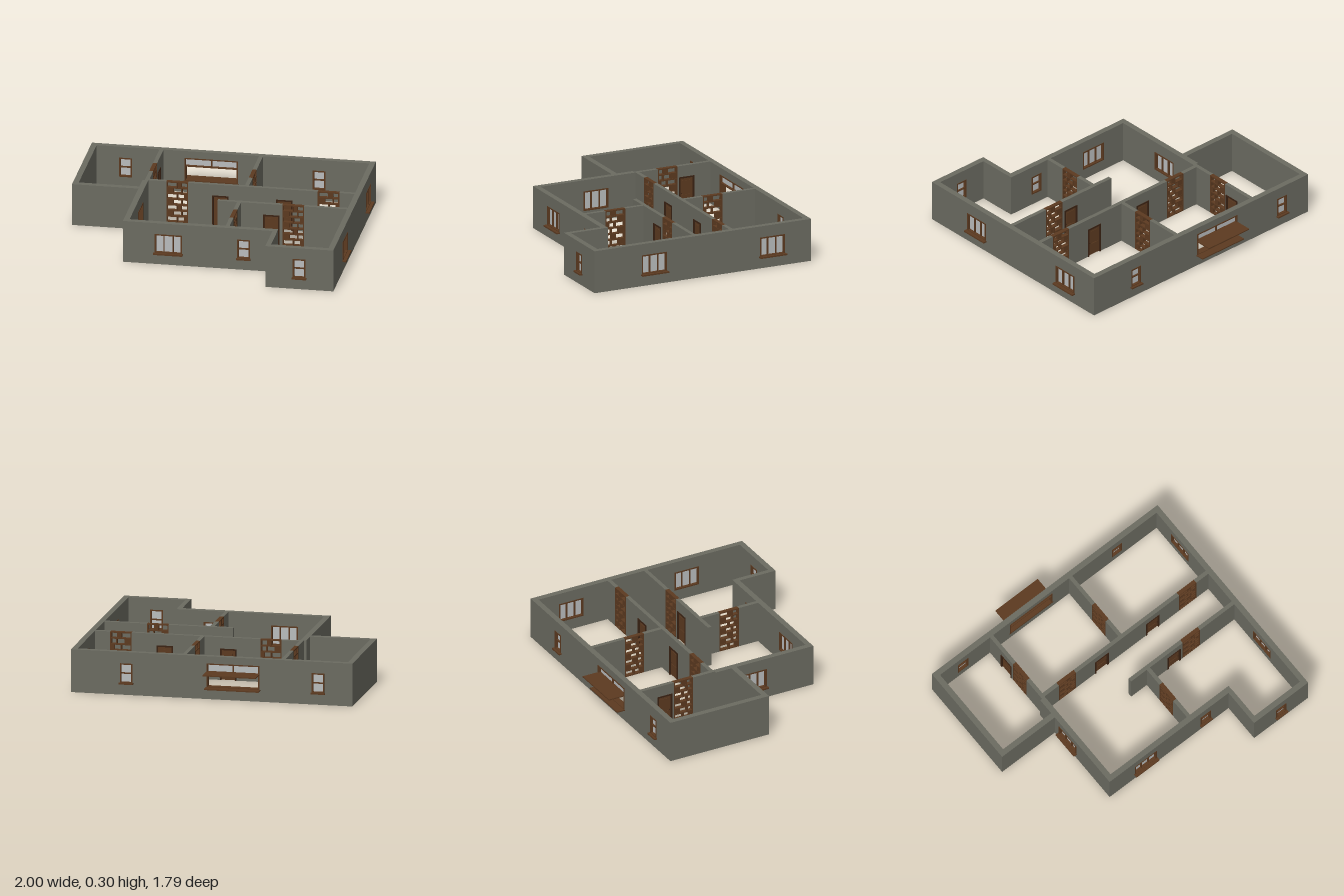
import * as THREE from 'three';

const H = 0.3; // wall height
const mat = (color) => new THREE.MeshStandardMaterial({ color });
const wallMat = mat(0x6b6b61);
const woodMat = mat(0x5c3a20);
const darkMat = mat(0x3a2213);
const glassMat = mat(0xb9bcbd);

// Box given by its extents
function box(parent, name, material, x0, x1, y0, y1, z0, z1) {
  const mesh = new THREE.Mesh(new THREE.BoxGeometry(x1 - x0, y1 - y0, z1 - z0), material);
  mesh.position.set((x0 + x1) / 2, (y0 + y1) / 2, (z0 + z1) / 2);
  mesh.name = name;
  parent.add(mesh);
  return mesh;
}

// Rectangular frame of four bars
function frame(parent, name, material, u0, u1, y0, y1, b, d, sill = true) {
  box(parent, name, material, u0, u0 + b, y0, y1, -d, d);
  box(parent, name, material, u1 - b, u1, y0, y1, -d, d);
  box(parent, name, material, u0 + b, u1 - b, y1 - b, y1, -d, d);
  if (sill) box(parent, name, material, u0 + b, u1 - b, y0, y0 + b, -d, d);
}

const group = (name) => Object.assign(new THREE.Group(), { name });

// Window centred on u; out = +1 or -1 is the outdoor side
function makeWindow(o, t, out) {
  const g = group(o.wide ? 'wideWindow' : 'smallWindow');
  const { u0, u1, y0, y1 } = o;
  frame(g, 'windowFrame', woodMat, u0, u1, y0, y1, 0.009, t / 2 + 0.003);
  box(g, 'glass', glassMat, u0, u1, y0, y1, -0.002, 0.002);
  const d = t / 2 - 0.006;
  if (o.wide) {
    for (const k of [1, 2]) {
      const u = u0 + ((u1 - u0) * k) / 3;
      box(g, 'mullion', woodMat, u - 0.004, u + 0.004, y0, y1, -d, d);
    }
  } else {
    const y = (y0 + y1) / 2;
    box(g, 'transom', woodMat, u0, u1, y - 0.004, y + 0.004, -d, d);
  }
  const far = t / 2 + (o.wide ? 0.026 : 0.02);
  const [w0, w1] = out > 0 ? [t / 2 - 0.01, far] : [-far, -t / 2 + 0.01];
  box(g, 'windowSill', woodMat, u0 - 0.006, u1 + 0.006, y0 - 0.005, y0 + 0.005, w0, w1);
  return g;
}

// Panelled door with casing and knobs
function makeDoor(o, t) {
  const g = group('door');
  const { u0, u1, y1 } = o;
  frame(g, 'doorCasing', darkMat, u0, u1, 0, y1, 0.01, t / 2 + 0.004, false);
  box(g, 'doorLeaf', woodMat, u0 + 0.01, u1 - 0.01, 0.001, y1 - 0.01, -0.007, 0.007);
  for (const [a, b] of [[0.02, 0.09], [0.11, 0.19]]) {
    box(g, 'doorPanel', woodMat, u0 + 0.026, u1 - 0.026, a, b, -0.01, 0.01);
  }
  for (const s of [-1, 1]) {
    const knob = new THREE.Mesh(new THREE.SphereGeometry(0.004, 10, 8), darkMat);
    knob.position.set(u1 - 0.019, 0.1, s * 0.012);
    knob.name = 'doorKnob';
    g.add(knob);
  }
  return g;
}

// Open room-divider shelf with staggered uprights and a few closed cells
function makeShelf(o, t) {
  const g = group('dividerShelf');
  const { u0, u1 } = o;
  const d = t / 2, b = 0.008, rows = 7, step = (H - b) / rows, w = u1 - u0;
  frame(g, 'shelfFrame', woodMat, u0, u1, 0, H, b, d);
  for (let r = 0; r < rows; r++) {
    const y = r * step;
    if (r) box(g, 'shelfBoard', woodMat, u0 + b, u1 - b, y, y + b, -d, d);
    const splits = r % 2 ? [0.3, 0.7] : [0.5];
    for (const f of splits) {
      box(g, 'shelfUpright', woodMat, u0 + w * f - b / 2, u0 + w * f + b / 2, y + b, y + step, -d, d);
    }
    const [p, q] = r % 2 ? [0, 0.3] : r % 4 ? [0.5, 0.72] : [0.78, 1];
    box(g, 'shelfBlock', woodMat, u0 + w * p + b / 2, u0 + w * q - b / 2, y + b, y + step, -d * 0.8, d * 0.8);
  }
  return g;
}

// Serving hatch: top light, raised flap outside and counter through the wall
function makeHatch(o, t, out) {
  const g = group('servingHatch');
  const { u0, u1, y0, y1 } = o, mid = 0.19;
  frame(g, 'hatchFrame', woodMat, u0, u1, y0, y1, 0.008, t / 2 + 0.003);
  box(g, 'hatchTransom', woodMat, u0, u1, mid - 0.004, mid + 0.004, -t / 2, t / 2);
  box(g, 'glass', glassMat, u0, u1, mid, y1, -0.002, 0.002);
  const m = (u0 + u1) / 2;
  box(g, 'mullion', woodMat, m - 0.004, m + 0.004, mid, y1, -0.012, 0.012);
  const slab = (name, y, near, far, e) => {
    const [a, b] = [out * near, out * far].sort((p, q) => p - q);
    box(g, name, woodMat, u0 - e, u1 + e, y - 0.004, y + 0.004, a, b);
  };
  slab('hatchFlap', mid, t / 2, 0.14, 0);
  slab('counter', y0, -t / 2 - 0.004, 0.08, 0.006);
  return g;
}

const makers = { window: makeWindow, door: makeDoor, shelf: makeShelf, hatch: makeHatch };

// Wall running along x or z from a to b, centred on c, with fitted openings
function makeWall(name, axis, a, b, c, t, openings = [], out = 1) {
  const g = group(name);
  const list = [...openings].sort((p, q) => p.u0 - q.u0);
  const gaps = list.filter((o) => o.type === 'shelf');
  const ends = [a, ...gaps.flatMap((o) => [o.u0, o.u1]), b];
  for (let i = 0; i < ends.length; i += 2) {
    const [s, e] = [ends[i], ends[i + 1]];
    const inside = list.filter((o) => o.type !== 'shelf' && o.u0 > s && o.u1 < e);
    const shape = new THREE.Shape().moveTo(s, 0);
    for (const o of inside.filter((d) => d.type === 'door')) {
      shape.lineTo(o.u0, 0).lineTo(o.u0, o.y1).lineTo(o.u1, o.y1).lineTo(o.u1, 0);
    }
    shape.lineTo(e, 0).lineTo(e, H).lineTo(s, H).closePath();
    for (const o of inside.filter((d) => d.type !== 'door')) {
      shape.holes.push(new THREE.Path().moveTo(o.u0, o.y0).lineTo(o.u0, o.y1)
        .lineTo(o.u1, o.y1).lineTo(o.u1, o.y0).closePath());
    }
    const geo = new THREE.ExtrudeGeometry(shape, { depth: t, bevelEnabled: false });
    const mesh = new THREE.Mesh(geo.translate(0, 0, -t / 2), wallMat);
    mesh.name = 'wallPanel';
    g.add(mesh);
  }
  for (const o of list) g.add(makers[o.type](o, t, out));
  if (axis === 'z') {
    g.rotation.y = -Math.PI / 2;
    g.position.x = c;
  } else g.position.z = c;
  return g;
}

// Openings, each centred on u
const opening = (type, u, w, y0, y1, wide) => ({ type, u0: u - w / 2, u1: u + w / 2, y0, y1, wide });
const wide = (u) => opening('window', u, 0.19, 0.08, 0.22, true);
const small = (u) => opening('window', u, 0.088, 0.08, 0.22, false);
const door = (u) => opening('door', u, 0.115, 0, 0.22);
const shelf = (u) => opening('shelf', u, 0.15, 0, H);

export function createModel() {
  const model = group('house');
  const T = 0.04, I = 0.028; // outer and inner wall thickness
  const add = (...args) => model.add(makeWall(...args));

  // Outer walls
  const hatch = opening('hatch', -0.165, 0.37, 0.08, 0.25);
  add('backWall', 'x', -1, 0.97, -0.76, T, [small(-0.76), hatch, small(0.583)], -1);
  add('rightOuterWall', 'z', -0.74, 0.87, 0.95, T, [wide(-0.485), wide(0.415)], -1);
  add('leftOuterWall', 'z', -0.74, -0.01, -0.98, T);
  add('sideRoomFrontWall', 'x', -0.96, -0.54, -0.03, T);
  add('livingRoomSideWall', 'z', -0.17, 0.55, -0.52, T, [wide(0.13)], 1);
  add('frontWall', 'x', -0.54, 0.53, 0.57, T, [wide(-0.225), small(0.297)], 1);
  add('porchSideWall', 'z', 0.59, 0.83, 0.515, 0.034);
  add('porchFrontWall', 'x', 0.498, 0.93, 0.85, T, [small(0.733)], 1);

  // Inner walls with doors and divider shelves
  add('sideRoomInnerWall', 'z', -0.74, -0.17, -0.51, I, [door(-0.56), shelf(-0.415)]);
  add('backRoomDivider', 'z', -0.74, -0.2, 0.18, I, [shelf(-0.415)]);
  add('corridorBackWall', 'x', -0.496, 0.93, -0.187, I, [shelf(-0.3), door(0), door(0.443), shelf(0.75)]);
  add('corridorFrontWall', 'x', 0.03, 0.93, 0.097, I, [door(0.403), shelf(0.555)]);
  add('frontRoomDivider', 'z', 0.11, 0.55, 0.18, I, [shelf(0.325)]);
  return model;
}
